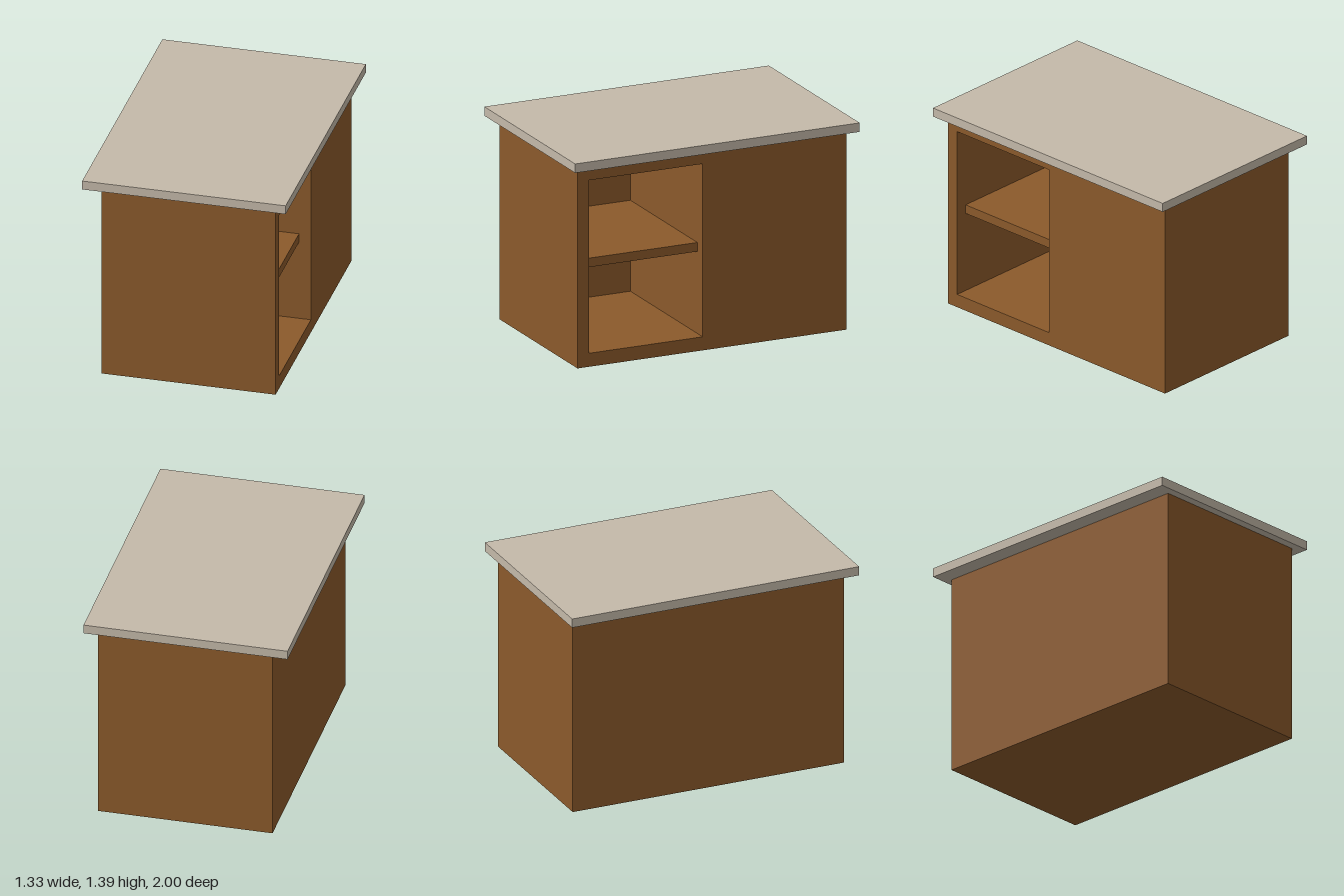
import * as THREE from 'three';

// Box given by its minimum and maximum corners
function slab(name, material, [x0, y0, z0], [x1, y1, z1]) {
  const mesh = new THREE.Mesh(new THREE.BoxGeometry(x1 - x0, y1 - y0, z1 - z0), material);
  mesh.position.set((x0 + x1) / 2, (y0 + y1) / 2, (z0 + z1) / 2);
  mesh.name = name;
  return mesh;
}

// Traces a rectangle on a Shape or Path
function rectangle(path, x0, y0, x1, y1) {
  return path.moveTo(x0, y0).lineTo(x1, y0).lineTo(x1, y1).lineTo(x0, y1).closePath();
}

export function createModel() {
  const wood = new THREE.MeshStandardMaterial({ color: 0x8b5a2b });
  wood.name = 'brown wood';
  const stone = new THREE.MeshStandardMaterial({ color: 0xc4b9a9 });
  stone.name = 'pale stone';

  const height = 1.33, halfLength = 0.945;
  const left = 0.587, right = -0.555, panel = 0.08;
  const niche = { z0: 0.065, z1: 0.865, y0: 0.09, y1: 1.24 };

  const group = new THREE.Group();
  group.name = 'kitchenIsland';

  // Cabinet: side profile with the shelf opening, extruded across the width
  const profile = rectangle(new THREE.Shape(), -halfLength, 0, halfLength, height);
  profile.holes.push(rectangle(new THREE.Path(), -niche.z1, niche.y0, -niche.z0, niche.y1));
  const geometry = new THREE.ExtrudeGeometry(profile, { depth: left - right - panel, bevelEnabled: false });
  geometry.rotateY(Math.PI / 2);
  const cabinet = new THREE.Mesh(geometry, wood);
  cabinet.position.x = right + panel;
  cabinet.name = 'cabinet';

  group.add(
    cabinet,
    // Panel closing the back of the opening
    slab('backPanel', wood, [right, 0, -halfLength], [right + panel, height, halfLength]),
    // Shelf set back from the opening
    slab('shelf', wood, [right + panel, 0.635, niche.z0], [left - 0.078, 0.695, niche.z1]),
    // Overhanging worktop
    slab('countertop', stone, [-0.667, height, -1], [0.667, 1.39, 1])
  );
  return group;
}
